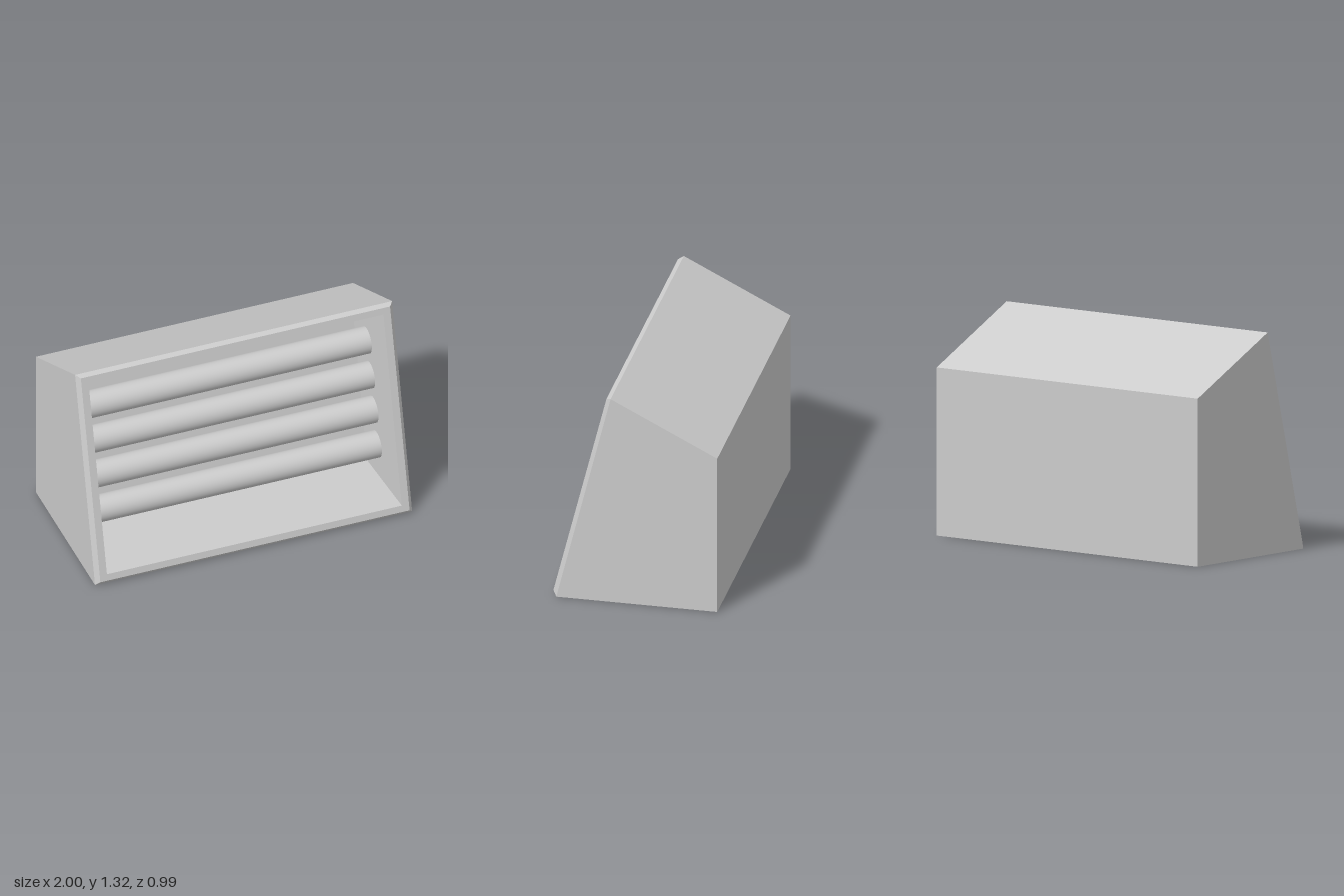
import * as THREE from 'three';

const material = new THREE.MeshStandardMaterial({ color: 0xcccccc });

// Rectangular cross-section: half width, bottom edge (y, z), top edge (y, z)
const ring = (w, yb, zb, yt, zt) => [[-w, yb, zb], [w, yb, zb], [w, yt, zt], [-w, yt, zt]];

// Flat quads from corner lists, counter-clockwise seen from outside
function quadMesh(name, quads) {
  const positions = quads.flatMap(([a, b, c, d]) => [a, b, c, a, c, d]).flat();
  const geometry = new THREE.BufferGeometry();
  geometry.setAttribute('position', new THREE.Float32BufferAttribute(positions, 3));
  geometry.computeVertexNormals();
  const mesh = new THREE.Mesh(geometry, material);
  mesh.name = name;
  return mesh;
}

// The four walls joining one cross-section to the next
const band = (a, b) => a.map((p, i) => {
  const j = (i + 1) % 4;
  return [p, a[j], b[j], b[i]];
});

export function createModel() {
  const group = new THREE.Group();
  group.name = 'slopedTubeLight';

  const back = ring(1, 0, -0.495, 1, -0.495);
  const shoulder = ring(1, 0, 0.475, 1.322, 0.148);
  const face = ring(0.975, 0.03, 0.498, 1.31, 0.178);
  const opening = ring(0.93, 0.07, 0.488, 1.27, 0.188);
  const recess = ring(0.898, 0.07, 0, 1.04, -0.24);

  // Closed wedge housing, bevelled front frame and tapering cavity
  group.add(
    quadMesh('housing', [[...back].reverse(), ...band(back, shoulder)]),
    quadMesh('frontBevel', band(shoulder, face)),
    quadMesh('frontFrame', band(face, opening)),
    quadMesh('cavityWalls', band(opening, recess)),
    quadMesh('backPanel', [recess]),
  );

  // Four horizontal tubes stacked parallel to the sloping back panel
  const tubes = new THREE.Group();
  tubes.name = 'tubes';
  const tubeGeometry = new THREE.CylinderGeometry(0.083, 0.083, 1.82, 32).rotateZ(Math.PI / 2);
  for (let i = 0; i < 4; i++) {
    const tube = new THREE.Mesh(tubeGeometry, material);
    tube.name = 'tube' + (i + 1);
    tube.position.set(0, 0.28 + i * 0.217, 0.13 - i * 0.055);
    tubes.add(tube);
  }
  group.add(tubes);
  return group;
}
